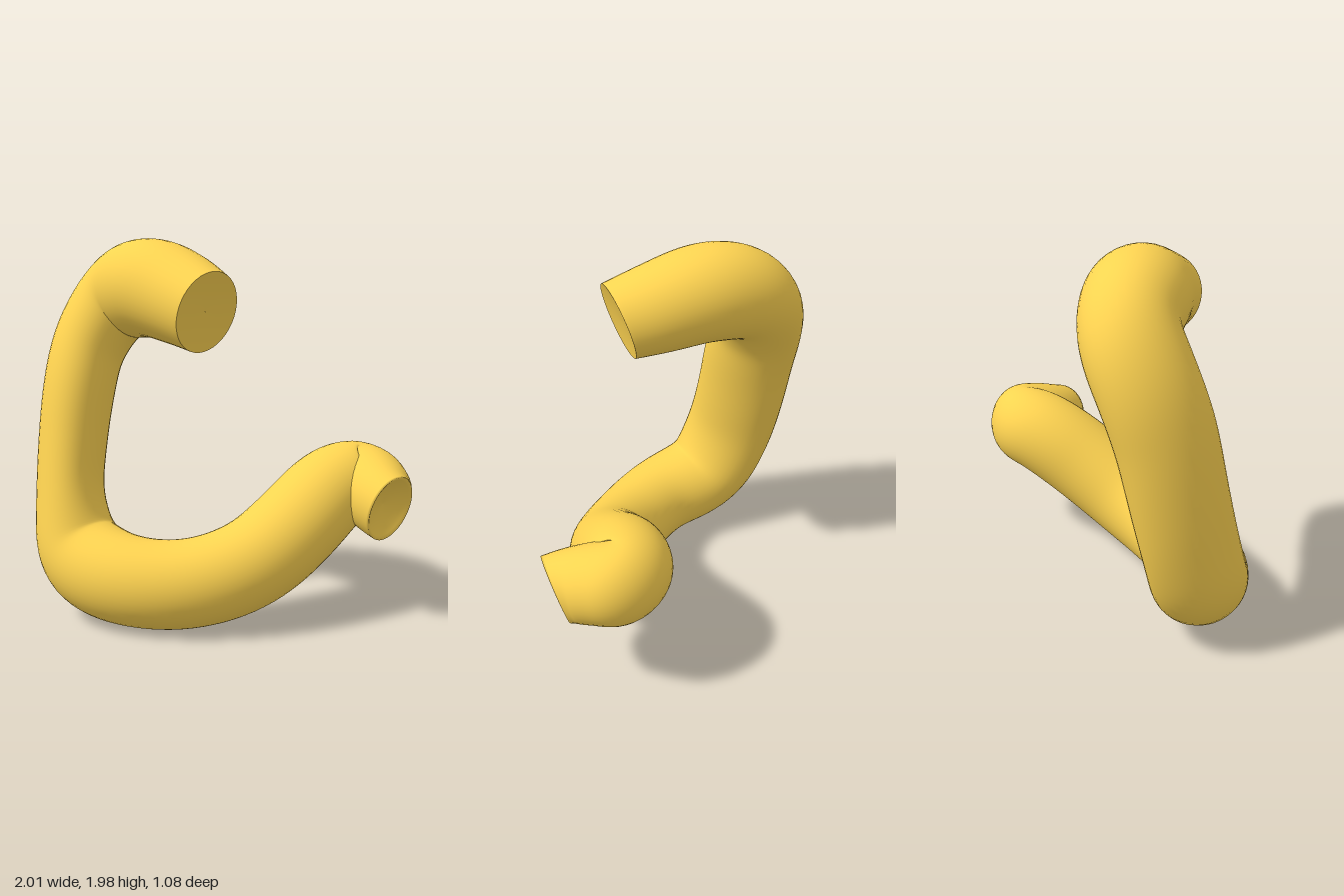
import * as THREE from 'three';

// Stations along the tube: x, y, z, radius, width factor in x
const STATIONS = [
  [-0.095, 1.615, 0.295, 0.212, 0.92],
  [-0.215, 1.675, 0.11, 0.24, 0.98],
  [-0.385, 1.725, -0.1, 0.262, 0.98],
  [-0.56, 1.655, -0.28, 0.255, 0.8],
  [-0.71, 1.43, -0.275, 0.255, 0.76],
  [-0.77, 1.2, -0.22, 0.26, 0.74],
  [-0.81, 0.9, -0.165, 0.26, 0.71],
  [-0.825, 0.6, -0.09, 0.26, 0.7],
  [-0.765, 0.325, 0.03, 0.255, 0.9],
  [-0.54, 0.24, 0.24, 0.235, 1],
  [-0.2, 0.23, 0.315, 0.23, 1],
  [0.13, 0.32, 0.27, 0.235, 1],
  [0.39, 0.495, 0.135, 0.238, 1],
  [0.6, 0.65, -0.02, 0.235, 1],
  [0.76, 0.67, -0.075, 0.222, 1],
  [0.8, 0.65, 0.06, 0.205, 1],
  [0.822, 0.622, 0.165, 0.195, 0.95],
  [0.855, 0.595, 0.255, 0.185, 0.85],
];
const RINGS = 136, SIDES = 40;
const START_DIR = new THREE.Vector3(-0.61, 0.3, -0.73).normalize();
const END_DIR = new THREE.Vector3(0.54, -0.3, 0.79).normalize();

// Cross-sections carried along the path without twisting
function buildRings() {
  const centre = new THREE.CatmullRomCurve3(STATIONS.map(s => new THREE.Vector3(s[0], s[1], s[2])));
  const sizes = new THREE.CatmullRomCurve3(
    STATIONS.map(s => new THREE.Vector3(s[3], s[4], 0)), false, 'catmullrom');
  const u = new THREE.Vector3(0, 1, 0), v = new THREE.Vector3();
  const rings = [];
  for (let i = 0; i <= RINGS; i++) {
    const t = i / RINGS;
    const p = centre.getPoint(t), dir = centre.getTangent(t), size = sizes.getPoint(t);
    // Tilt the outermost sections to the slant of the cut ends
    dir.lerp(START_DIR, Math.max(0, 1 - t / 0.06)).normalize();
    dir.lerp(END_DIR, Math.max(0, 1 - (1 - t) / 0.06)).normalize();
    u.addScaledVector(dir, -u.dot(dir)).normalize();
    v.crossVectors(dir, u);
    const ring = [];
    for (let j = 0; j < SIDES; j++) {
      const a = j / SIDES * Math.PI * 2;
      const o = new THREE.Vector3().addScaledVector(u, Math.cos(a)).addScaledVector(v, Math.sin(a));
      o.multiplyScalar(size.x);
      o.x *= size.y;
      ring.push(o.add(p));
    }
    rings.push(ring);
  }
  return rings;
}

// Average each ring with its neighbours, softening the inside of the bends
function relax(rings, passes) {
  for (let n = 0; n < passes; n++) {
    rings = rings.map((ring, i) => i === 0 || i === rings.length - 1 ? ring : ring.map((p, j) =>
      rings[i - 1][j].clone().add(rings[i + 1][j]).multiplyScalar(0.25).addScaledVector(p, 0.5)));
  }
  return rings;
}

// Smooth skin over a row of closed rings
function skin(rings) {
  const index = [];
  for (let i = 0; i < rings.length - 1; i++) {
    for (let j = 0; j < SIDES; j++) {
      const k = (j + 1) % SIDES, a = i * SIDES, b = a + SIDES;
      index.push(a + j, a + k, b + j, a + k, b + k, b + j);
    }
  }
  const geo = new THREE.BufferGeometry().setFromPoints(rings.flat());
  geo.setIndex(index);
  geo.computeVertexNormals();
  return geo;
}

// End face shrinking to its middle, dished by depth along inward
function endRings(ring, inward, depth) {
  const mid = ring.reduce((s, p) => s.add(p), new THREE.Vector3()).divideScalar(SIDES);
  return [1, 0.9, 0.75, 0.55, 0.3, 0.002].map(k =>
    ring.map(p => mid.clone().lerp(p, k).addScaledVector(inward, depth * (1 - k * k))));
}

export function createModel() {
  const group = new THREE.Group();
  group.name = 'bentTube';
  const material = new THREE.MeshStandardMaterial({ color: 0xffd451, side: THREE.DoubleSide });
  const add = (name, geo) => {
    const mesh = new THREE.Mesh(geo, material);
    mesh.name = name;
    group.add(mesh);
  };

  // Body running into the dished lower end with a soft rim
  const rings = relax(buildRings(), 9);
  const dish = endRings(rings[RINGS], END_DIR.clone().negate(), 0.06);
  add('tubeBody', skin([...rings, ...dish.slice(1)]));

  // Nearly flat upper end with a sharp rim
  add('upperEnd', skin(endRings(rings[0], START_DIR, 0.015).reverse()));

  return group;
}
